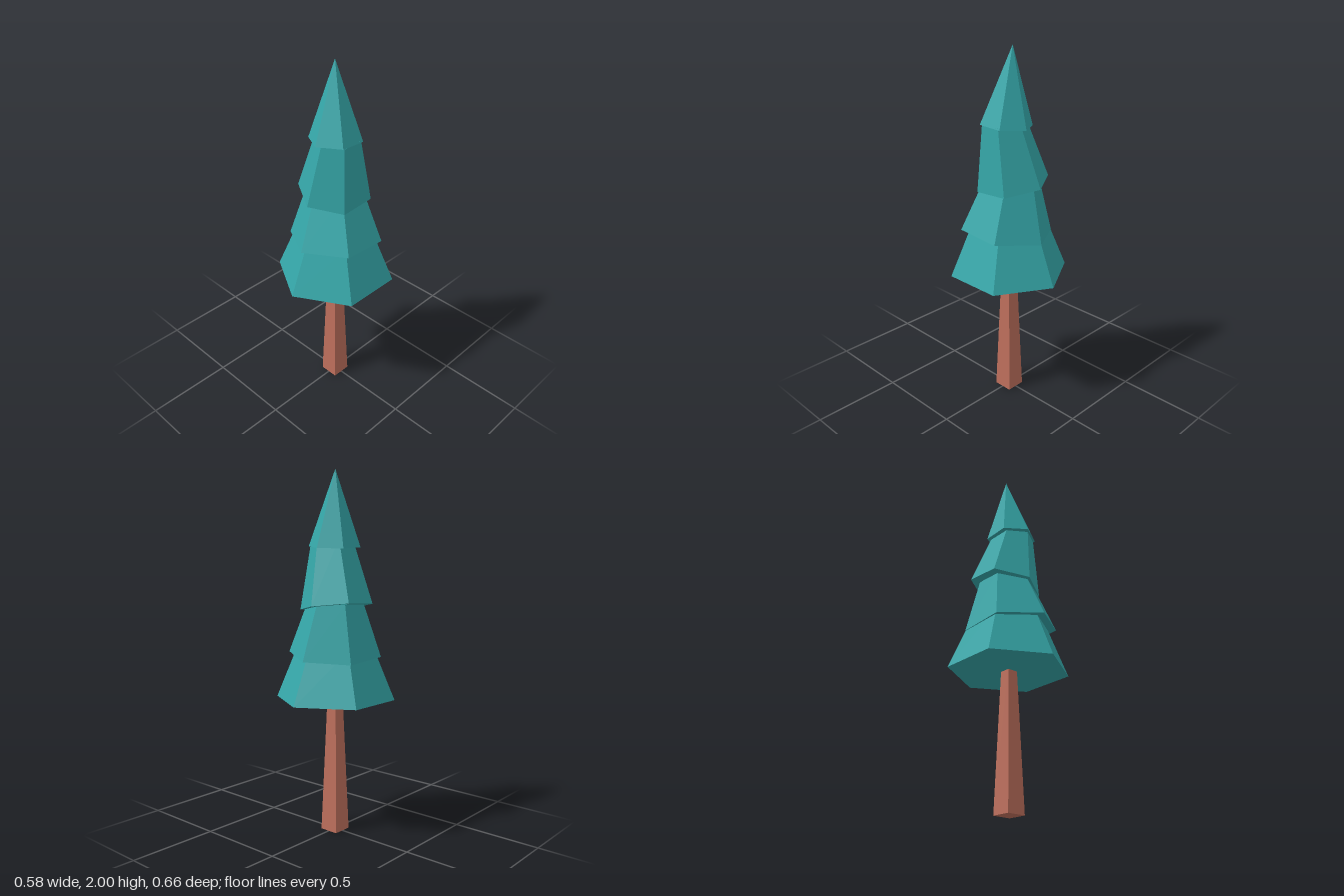
import * as THREE from 'three';

const leafMaterial = new THREE.MeshStandardMaterial({ color: 0x35a6a8, flatShading: true });
const barkMaterial = new THREE.MeshStandardMaterial({ color: 0xbd6f5c, flatShading: true });

// Tapered prism standing on its own origin, so it tilts about its base
function taper(name, material, sides, bottom, top, height, turn = 0) {
  const geometry = new THREE.CylinderGeometry(top, bottom, height, sides, 1, false, turn);
  geometry.translate(0, height / 2, 0);
  const mesh = new THREE.Mesh(geometry, material);
  mesh.name = name;
  return mesh;
}

export function createModel() {
  const tree = new THREE.Group();
  tree.name = 'pineTree';

  // Square trunk, narrowing upwards into the foliage
  const r = Math.SQRT2;
  tree.add(taper('trunk', barkMaterial, 4, 0.055 * r, 0.029 * r, 0.8, Math.PI / 4));

  // Six-sided foliage tiers, each slightly shifted and tilted
  const tiers = [
    { name: 'lowestTier', base: [0, 0.76, 0], radii: [0.332, 0.212], height: 0.29, tilt: [0, 0] },
    { name: 'lowerTier', base: [0.01, 1.005, 0.008], radii: [0.258, 0.151], height: 0.3, tilt: [-0.065, 0.08] },
    { name: 'upperTier', base: [-0.018, 1.27, -0.012], radii: [0.2, 0.118], height: 0.35, tilt: [0.06, -0.14] },
    { name: 'topTier', base: [0.011, 1.592, 0.008], radii: [0.143, 0], height: 0.409, tilt: [-0.05, 0.057] },
  ];
  for (const { name, base, radii, height, tilt } of tiers) {
    const tier = taper(name, leafMaterial, 6, radii[0], radii[1], height);
    tier.position.set(...base);
    tier.rotation.set(tilt[0], 0, tilt[1]);
    tree.add(tier);
  }
  return tree;
}
